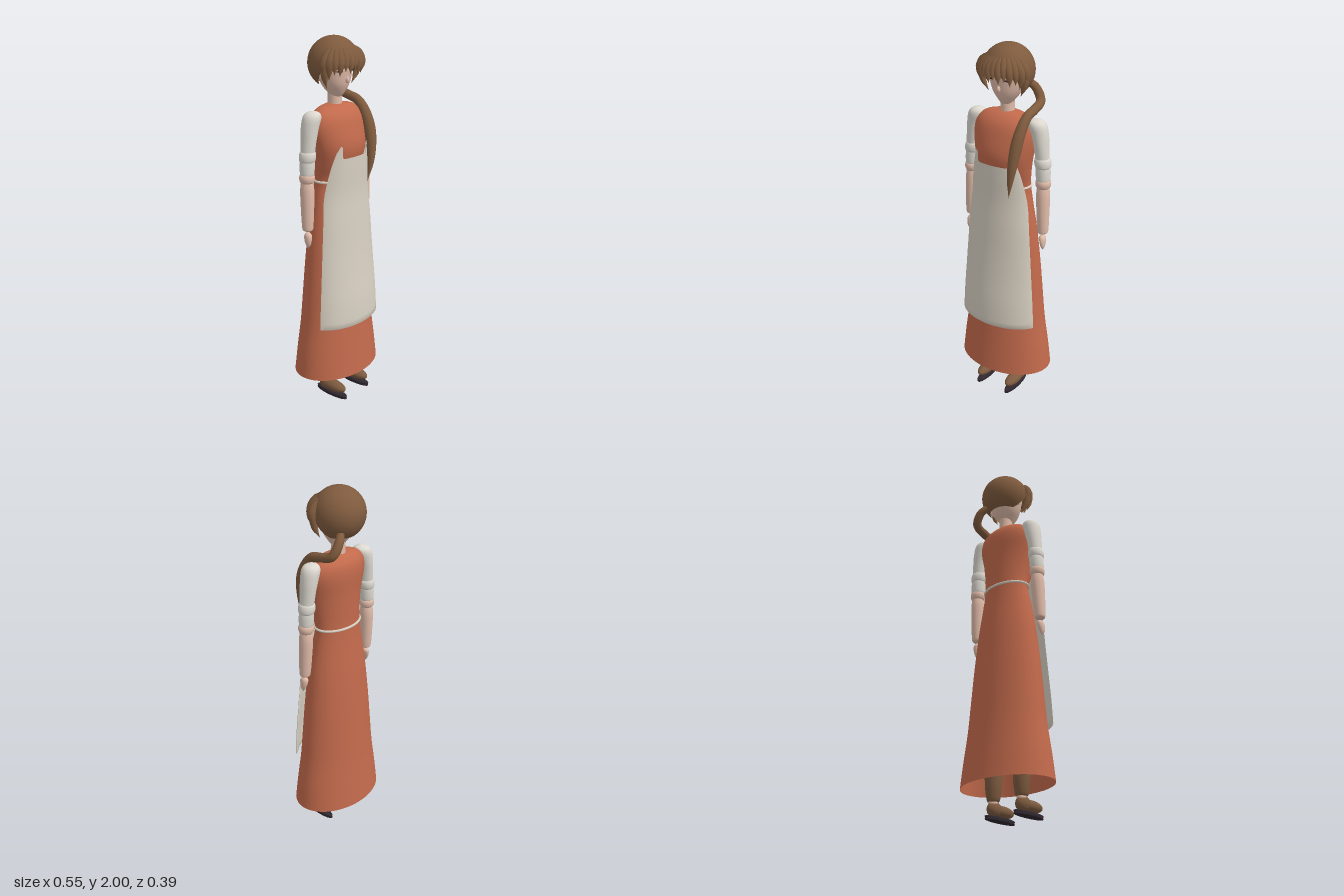
import * as THREE from 'three';

const mat = (name, color, double = true) => {
  const m = new THREE.MeshStandardMaterial({ color, side: double ? THREE.DoubleSide : THREE.FrontSide });
  m.name = name;
  return m;
};

// Grid of points fn(u, v), u and v in 0..1; wrap joins the first and last columns
function grid(fn, nu, nv, wrap) {
  const pos = [], idx = [], cols = wrap ? nu : nu + 1;
  for (let j = 0; j <= nv; j++)
    for (let i = 0; i < cols; i++) pos.push(...fn(i / nu, j / nv));
  for (let j = 0; j < nv; j++)
    for (let i = 0; i < nu; i++) {
      const k = (i + 1) % cols, a = j * cols + i, b = j * cols + k;
      idx.push(a, b, b + cols, a, b + cols, a + cols);
    }
  const g = new THREE.BufferGeometry();
  g.setAttribute('position', new THREE.Float32BufferAttribute(pos, 3));
  g.setIndex(idx);
  g.computeVertexNormals();
  return g;
}

// Smooth interpolation through rows of numbers, t in 0..1
function sample(rows, t) {
  const n = rows.length - 1, f = Math.min(t * n, n - 1e-6), i = Math.floor(f), s = f - i;
  const [p, a, b, q] = [rows[Math.max(i - 1, 0)], rows[i], rows[i + 1], rows[Math.min(i + 2, n)]];
  return a.map((_, k) => a[k] + 0.5 * s * (b[k] - p[k] +
    s * (2 * p[k] - 5 * a[k] + 4 * b[k] - q[k] + s * (3 * (a[k] - b[k]) + q[k] - p[k]))));
}

// Elliptical rings [y, cx, cz, rx, rz], listed from bottom to top
const loft = (rings, nu = 28, steps = 5) => grid((u, v) => {
  const [y, cx, cz, rx, rz] = sample(rings, v), a = u * Math.PI * 2;
  return [cx + Math.max(rx, 0.0004) * Math.sin(a), y, cz + Math.max(rz, 0.0004) * Math.cos(a)];
}, nu, (rings.length - 1) * steps, true);

// Tube whose radius follows a list of values
function taperedTube(points, radii, n = 16, sides = 10) {
  const curve = new THREE.CatmullRomCurve3(points.map(p => new THREE.Vector3(...p)));
  const g = new THREE.TubeGeometry(curve, n, 1, sides), p = g.attributes.position, v = new THREE.Vector3();
  for (let i = 0; i < p.count; i++) {
    const t = Math.floor(i / (sides + 1)) / n, c = curve.getPointAt(t);
    v.fromBufferAttribute(p, i).sub(c).multiplyScalar(Math.max(sample(radii.map(r => [r]), t)[0], 0.0005)).add(c);
    p.setXYZ(i, v.x, v.y, v.z);
  }
  return g;
}

export function createModel() {
  const root = new THREE.Group();
  const dressMat = mat('dress terracotta', 0xc26a4c), apronMat = mat('apron linen', 0xd8d0c2);
  const sleeveMat = mat('sleeve white', 0xdcd8cf), skin = mat('skin', 0xe0bba9);
  const hair = mat('hair brown', 0x7f5b3e), boot = mat('boot brown', 0x7c5a3f);
  const soleMat = mat('sole dark', 0x30272f), eyeMat = mat('eye dark', 0x2e2226);
  const add = (name, geo, m) => {
    const mesh = new THREE.Mesh(geo, m);
    mesh.name = name;
    root.add(mesh);
    return mesh;
  };
  const ball = (name, m, [x, y, z], [a, b, c]) => {
    const s = add(name, new THREE.SphereGeometry(1, 24, 16), m);
    s.position.set(x, y, z);
    s.scale.set(a, b, c);
    return s;
  };

  // Dress, open at the hem
  add('dress', loft([
    [0.16, 0, 0, 0.273, 0.193], [0.3, 0, 0, 0.257, 0.178], [0.45, 0, 0, 0.235, 0.163],
    [0.6, 0, 0, 0.221, 0.152], [0.8, 0, 0, 0.203, 0.138], [1.0, 0, 0, 0.18, 0.121],
    [1.15, 0, -0.002, 0.155, 0.102], [1.26, 0, -0.005, 0.138, 0.09], [1.36, 0, 0.014, 0.149, 0.108],
    [1.45, 0, 0.021, 0.165, 0.116], [1.55, 0, 0.008, 0.179, 0.107], [1.61, 0, 0, 0.162, 0.09],
    [1.645, 0, -0.005, 0.115, 0.06], [1.66, 0, -0.01, 0.035, 0.033],
  ], 56), dressMat);

  // Apron: curved shell with a scooped bib; rows are [y, half width, side z, front z]
  const apronRows = [
    [0.45, 0.232, 0.09, 0.191], [0.6, 0.224, 0.088, 0.184], [0.75, 0.212, 0.084, 0.169],
    [0.9, 0.2, 0.08, 0.156], [1.05, 0.188, 0.076, 0.147], [1.2, 0.173, 0.07, 0.139],
    [1.35, 0.146, 0.092, 0.142], [1.5, 0.105, 0.122, 0.143],
  ];
  add('apron', grid((a, s) => {
    const u = a * 2 - 1, outer = s >= 0.5, q = Math.abs(2 * s - 1);
    const top = 1.4 + 0.065 * THREE.MathUtils.smoothstep(Math.abs(u), 0.55, 0.78)
      - 0.03 * THREE.MathUtils.smoothstep(Math.abs(u), 0.85, 1);
    const y = THREE.MathUtils.lerp(0.45, top, q);
    const [, w, zs, zf] = sample(apronRows, (y - 0.45) / 1.05);
    const t = outer ? 0 : 0.013 * (1 - Math.abs(u) ** 14) * (1 - q ** 24);
    const x = w * Math.sin(u * 1.2) / Math.sin(1.2);
    const z = zs + (zf - zs) * (Math.cos(u * 1.2) - Math.cos(1.2)) / (1 - Math.cos(1.2));
    return [x * (1 - t * 2), y, z - t];
  }, 56, 61, false), apronMat);

  // Apron tie around the waist
  const waist = Array.from({ length: 24 }, (_, i) => {
    const a = i / 24 * Math.PI * 2;
    return new THREE.Vector3(0.139 * Math.sin(a), 1.262, -0.005 + 0.091 * Math.cos(a));
  });
  add('apronTie', new THREE.TubeGeometry(new THREE.CatmullRomCurve3(waist, true), 64, 0.007, 8, true), apronMat);

  // Arms and legs, mirrored
  for (const s of [1, -1]) {
    const side = s > 0 ? 'left' : 'right';
    const limb = (part, rings, m) =>
      add(side + part, loft(rings.map(([y, x, z, rx, rz = rx]) => [y, x * s, z, rx, rz])), m);
    limb('Sleeve', [
      [1.39, 0.216, -0.005, 0.034], [1.42, 0.214, -0.005, 0.036], [1.5, 0.206, -0.005, 0.039, 0.043],
      [1.56, 0.195, -0.005, 0.045, 0.047], [1.61, 0.182, -0.003, 0.048], [1.635, 0.176, -0.002, 0.034],
      [1.645, 0.174, -0.002, 0],
    ], sleeveMat);
    limb('SleeveBand', [
      [1.385, 0.217, -0.005, 0.033], [1.395, 0.217, -0.005, 0.041], [1.415, 0.215, -0.005, 0.044],
      [1.435, 0.213, -0.005, 0.041], [1.445, 0.212, -0.005, 0.033],
    ], sleeveMat);
    limb('SleeveCuff', [
      [1.318, 0.221, -0.004, 0.03], [1.325, 0.22, -0.004, 0.037], [1.37, 0.218, -0.005, 0.039],
      [1.4, 0.216, -0.005, 0.037],
    ], sleeveMat);
    limb('Elbow', [
      [1.275, 0.221, -0.004, 0.028], [1.285, 0.221, -0.004, 0.037], [1.303, 0.221, -0.004, 0.041],
      [1.32, 0.221, -0.004, 0.037], [1.328, 0.221, -0.004, 0.025],
    ], skin);
    limb('Forearm', [
      [1.016, 0.228, 0.004, 0], [1.022, 0.228, 0.004, 0.023], [1.045, 0.228, 0.003, 0.03],
      [1.15, 0.225, 0, 0.034, 0.036], [1.24, 0.222, -0.003, 0.036, 0.037], [1.29, 0.221, -0.004, 0.03],
    ], skin);
    limb('Hand', [
      [0.925, 0.236, 0.012, 0], [0.945, 0.236, 0.012, 0.01, 0.015], [0.975, 0.233, 0.009, 0.016, 0.023],
      [1.0, 0.229, 0.006, 0.016, 0.02], [1.015, 0.228, 0.004, 0],
    ], skin);
    limb('Leg', [[0.08, 0.095, 0, 0.024], [0.25, 0.095, 0, 0.032], [0.45, 0.092, 0, 0.045], [0.7, 0.085, 0, 0.055]], skin);
    limb('BootShaft', [
      [0.095, 0.095, 0.002, 0.026], [0.108, 0.095, 0.002, 0.034], [0.16, 0.095, 0.002, 0.042],
      [0.22, 0.095, 0.002, 0.045], [0.245, 0.095, 0.002, 0.043], [0.25, 0.095, 0.002, 0.03],
    ], boot);
    ball(side + 'BootToe', boot, [s * 0.095, 0.056, 0.065], [0.036, 0.031, 0.085]);
    ball(side + 'BootHeel', boot, [s * 0.095, 0.06, 0.01], [0.034, 0.04, 0.045]);
    limb('Sole', [
      [0, 0.095, 0.052, 0], [0.002, 0.095, 0.052, 0.025, 0.1], [0.012, 0.095, 0.052, 0.029, 0.105],
      [0.024, 0.095, 0.052, 0.025, 0.1], [0.026, 0.095, 0.052, 0],
    ], soleMat);
    ball(side + 'Ear', skin, [s * 0.098, 1.81, -0.02], [0.012, 0.026, 0.018]);
    ball(side + 'Eye', eyeMat, [s * 0.05, 1.832, 0.068], [0.018, 0.005, 0.004]).rotation.y = s * 0.5;
  }

  // Neck, head and nose
  add('neck', loft([[1.63, 0, -0.01, 0.04, 0.04], [1.68, 0, -0.01, 0.036, 0.038], [1.78, 0, -0.015, 0.038, 0.04]]), skin);
  add('head', loft([
    [1.688, 0, 0.005, 0, 0], [1.695, 0, 0.003, 0.024, 0.024], [1.72, 0, -0.003, 0.046, 0.05],
    [1.76, 0, -0.008, 0.074, 0.074], [1.81, 0, -0.012, 0.092, 0.087], [1.87, 0, -0.014, 0.1, 0.095],
    [1.93, 0, -0.015, 0.083, 0.082], [1.965, 0, -0.015, 0.03, 0.03],
  ], 36), skin);
  ball('nose', skin, [0, 1.785, 0.074], [0.009, 0.017, 0.011]);

  // Hair cap, cut high over the face and low at the nape
  const R = 0.135, onHead = (a, th, r = R) =>
    [r * Math.sin(th) * Math.sin(a), 1.865 + r * Math.cos(th), -0.017 + r * Math.sin(th) * Math.cos(a)];
  add('hairCap', grid((u, v) => {
    const a = u * Math.PI * 2, back = Math.abs(Math.abs(u - 0.5) * 2 - 1);
    const end = 1.35 + 1.1 * THREE.MathUtils.smoothstep(back, 0.28, 0.62);
    return onHead(a, end * (1 - v) + 0.001);
  }, 56, 24, true), hair);

  // Pointed fringe locks, longer toward the temples
  for (let k = -6; k <= 6; k++) {
    const a = k * 0.2, tip = 1.72 + (k % 2 ? 0.12 : 0) + 0.01 * k * k;
    add('fringeLock', taperedTube(
      [onHead(a * 0.85, 0.85, 0.122), onHead(a * 0.95, 1.2, 0.132), onHead(a, 1.5, 0.141), onHead(a * 1.03, tip, 0.145)],
      [0.012, 0.024, 0.019, 0.001]), hair);
  }
  // Locks framing the face
  for (const s of [1, -1])
    add('sideLock', taperedTube(
      [[s * 0.1, 1.93, 0.03], [s * 0.124, 1.87, 0.032], [s * 0.122, 1.81, 0.03], [s * 0.096, 1.75, 0.02]],
      [0.012, 0.022, 0.017, 0.001]), hair);

  // Ponytail swept from the nape over the left shoulder
  add('ponytail', taperedTube([
    [0.06, 1.8, -0.09], [0.1, 1.76, -0.118], [0.135, 1.7, -0.108], [0.142, 1.675, -0.04], [0.14, 1.655, 0.03],
    [0.135, 1.58, 0.092], [0.128, 1.48, 0.127], [0.115, 1.36, 0.142], [0.098, 1.24, 0.134],
  ], [0.02, 0.024, 0.024, 0.025, 0.029, 0.031, 0.025, 0.015, 0.001], 56, 16), hair);

  return root;
}
